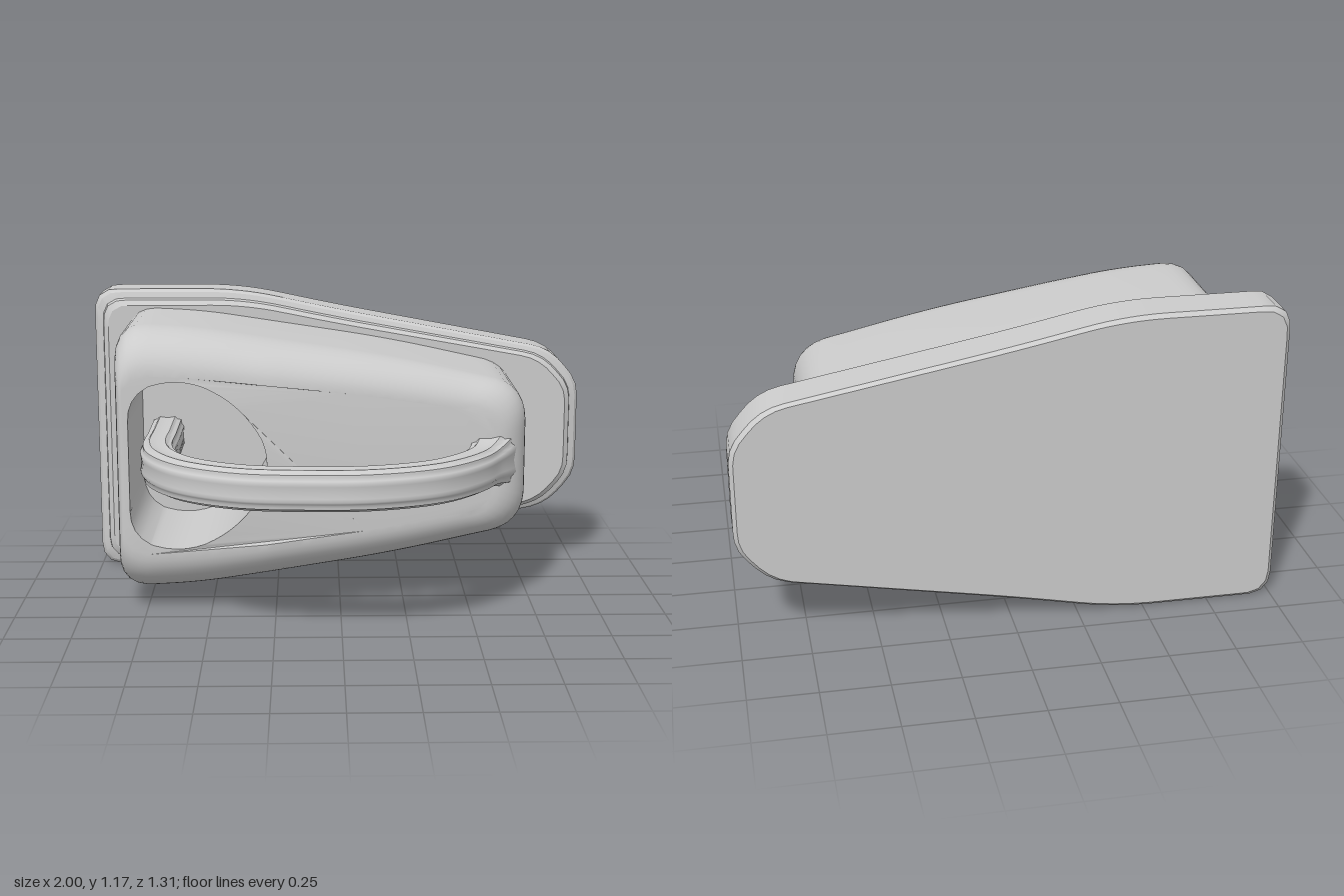
import * as THREE from 'three';
import { mergeGeometries, toCreasedNormals } from 'three/addons/utils/BufferGeometryUtils.js';

const MID = 0.595; // height of the horizontal symmetry line
const material = new THREE.MeshStandardMaterial({ color: 0xcccccc });
const { lerp, clamp, smoothstep } = THREE.MathUtils;

// Upper half profile (left to right), mirrored into a closed counter-clockwise outline with rounded corners
function outline(half, count) {
  const corners = [
    ...half.map(([x, y, r]) => [x, 2 * MID - y, r]),
    ...half.slice().reverse(),
  ].map(([x, y, r]) => ({ p: new THREE.Vector2(x, y), r }));
  const shape = new THREE.Shape();
  const n = corners.length;
  corners.forEach(({ p, r }, i) => {
    const toward = (q) => p.clone().add(q.clone().sub(p).setLength(r));
    const a = toward(corners[(i + n - 1) % n].p);
    const b = toward(corners[(i + 1) % n].p);
    if (i) shape.lineTo(a.x, a.y);
    else shape.moveTo(a.x, a.y);
    shape.quadraticCurveTo(p.x, p.y, b.x, b.y);
  });
  shape.closePath();
  return shape.getSpacedPoints(count).slice(0, count);
}

// Skin through rings of Vector3, with optional fan caps
function loft(rings, capStart = false, capEnd = false) {
  const n = rings[0].length;
  const pos = rings.flat().flatMap((v) => v.toArray());
  const index = [];
  for (let j = 0; j < rings.length - 1; j++) {
    for (let i = 0; i < n; i++) {
      const a = j * n + i, b = j * n + ((i + 1) % n);
      index.push(a, b, b + n, a, b + n, a + n);
    }
  }
  const cap = (j, flip) => {
    const c = rings[j].reduce((s, v) => s.add(v), new THREE.Vector3()).divideScalar(n);
    const k = pos.length / 3;
    pos.push(c.x, c.y, c.z);
    for (let i = 0; i < n; i++) {
      const a = j * n + i, b = j * n + ((i + 1) % n);
      index.push(k, flip ? b : a, flip ? a : b);
    }
  };
  if (capStart) cap(0, true);
  if (capEnd) cap(rings.length - 1, false);
  const g = new THREE.BufferGeometry();
  g.setAttribute('position', new THREE.Float32BufferAttribute(pos, 3));
  g.setIndex(index);
  return g.toNonIndexed();
}

function mesh(name, geometry, crease = 0.6) {
  const m = new THREE.Mesh(toCreasedNormals(geometry, crease), material);
  m.name = name;
  return m;
}

// Flat face from an outline, optionally pierced, with depth given by a rule
function face(points, hole, depth) {
  const shape = new THREE.Shape(points);
  if (hole) shape.holes.push(new THREE.Path(hole));
  const g = new THREE.ShapeGeometry(shape).toNonIndexed();
  g.deleteAttribute('uv');
  g.deleteAttribute('normal');
  const p = g.attributes.position;
  for (let i = 0; i < p.count; i++) p.setZ(i, depth(p.getX(i)));
  return g;
}

// Stepped back plate
function basePlate() {
  const pts = outline([
    [-1, 1.18, 0.09], [-0.4, 1.18, 0.15], [0, 1.095, 0.15], [0.88, 0.93, 0.08], [1, 0.79, 0.06],
  ], 128);
  const steps = [[-0.655, 0.015], [-0.64, 0], [-0.485, 0], [-0.47, 0.012], [-0.462, 0.035], [-0.435, 0.04], [-0.42, 0.06]];
  const rings = steps.map(([z, inset]) => pts.map((p) => new THREE.Vector3(
    p.x * (1 - inset), MID + (p.y - MID) * (1 - inset / 0.585), z)));
  return mesh('basePlate', loft(rings, true, true), 0.5);
}

// Front face drops slightly toward the narrow end
const frontZ = (x) => 0.225 - 0.07 * clamp((x + 0.28) / 0.78, 0, 1);

// Housing with soft front edges and a deep D-shaped recess
function housing() {
  const pts = outline([
    [-0.86, 1.115, 0.13], [-0.55, 1.1, 0.12], [0.2, 0.985, 0.2], [0.72, 0.87, 0.14],
  ], 128);
  const ring = (inset, depth) => pts.map((p) => {
    const u = (p.x + 0.86) / 1.58;
    const x = p.x + inset * lerp(0.035, -0.13, u);
    const y = MID + (p.y - MID) * (1 - 0.33 * inset);
    return new THREE.Vector3(x, y, depth(x));
  });
  const rings = [ring(0, () => -0.43)];
  for (let k = 0; k <= 10; k++) {
    const t = (k / 10) * Math.PI / 2;
    rings.push(ring(1 - Math.cos(t), (x) => lerp(0.02, frontZ(x), Math.sin(t))));
  }
  const hole = outline([[-0.8, 0.87, 0.1], [-0.62, 0.94, 0.12], [-0.37, 0.84, 0.17], [-0.28, 0.66, 0.05]], 56);
  const rim = rings[rings.length - 1].map((v) => new THREE.Vector2(v.x, v.y));
  const at = (depth) => hole.map((p) => new THREE.Vector3(p.x, p.y, depth(p.x)));
  const floor = () => -0.35;
  const group = new THREE.Group();
  group.name = 'housing';
  group.add(
    mesh('housingShell', mergeGeometries([loft(rings), face(rim, hole, frontZ)]), 0.7),
    mesh('recess', mergeGeometries([loft([at(frontZ), at(floor)]), face(hole, null, floor)])),
  );
  return group;
}

// Ridged loop handle, rooted in the recess and flared into the narrow end
function handle() {
  const path = new THREE.CatmullRomCurve3([
    [-0.7, -0.36], [-0.7, -0.1], [-0.7, 0.12], [-0.665, 0.27], [-0.56, 0.43], [-0.36, 0.55], [-0.12, 0.582],
    [0.1, 0.575], [0.33, 0.49], [0.48, 0.34], [0.56, 0.18], [0.6, 0.04],
  ].map(([x, z]) => new THREE.Vector3(x, MID, z)));
  const up = new THREE.Vector3(0, 1, 0);
  const rings = [];
  for (let j = 0; j <= 80; j++) {
    const c = path.getPointAt(j / 80);
    const side = up.clone().cross(path.getTangentAt(j / 80)).normalize();
    const flare = 1 + 0.5 * smoothstep(j / 80, 0.9, 1);
    rings.push(Array.from({ length: 48 }, (_, i) => {
      const a = (i / 48) * Math.PI * 2;
      const round = (v) => Math.sign(v) * Math.abs(v) ** 0.6;
      const r = flare * (1 - 0.04 * (1 + Math.cos(12 * a)));
      return c.clone()
        .addScaledVector(side, 0.068 * r * round(Math.cos(a)))
        .addScaledVector(up, 0.078 * r * round(Math.sin(a)));
    }));
  }
  return mesh('handle', loft(rings, true, true), 0.8);
}

export function createModel() {
  const model = new THREE.Group();
  model.name = 'flatIron';
  model.add(basePlate(), housing(), handle());
  return model;
}
